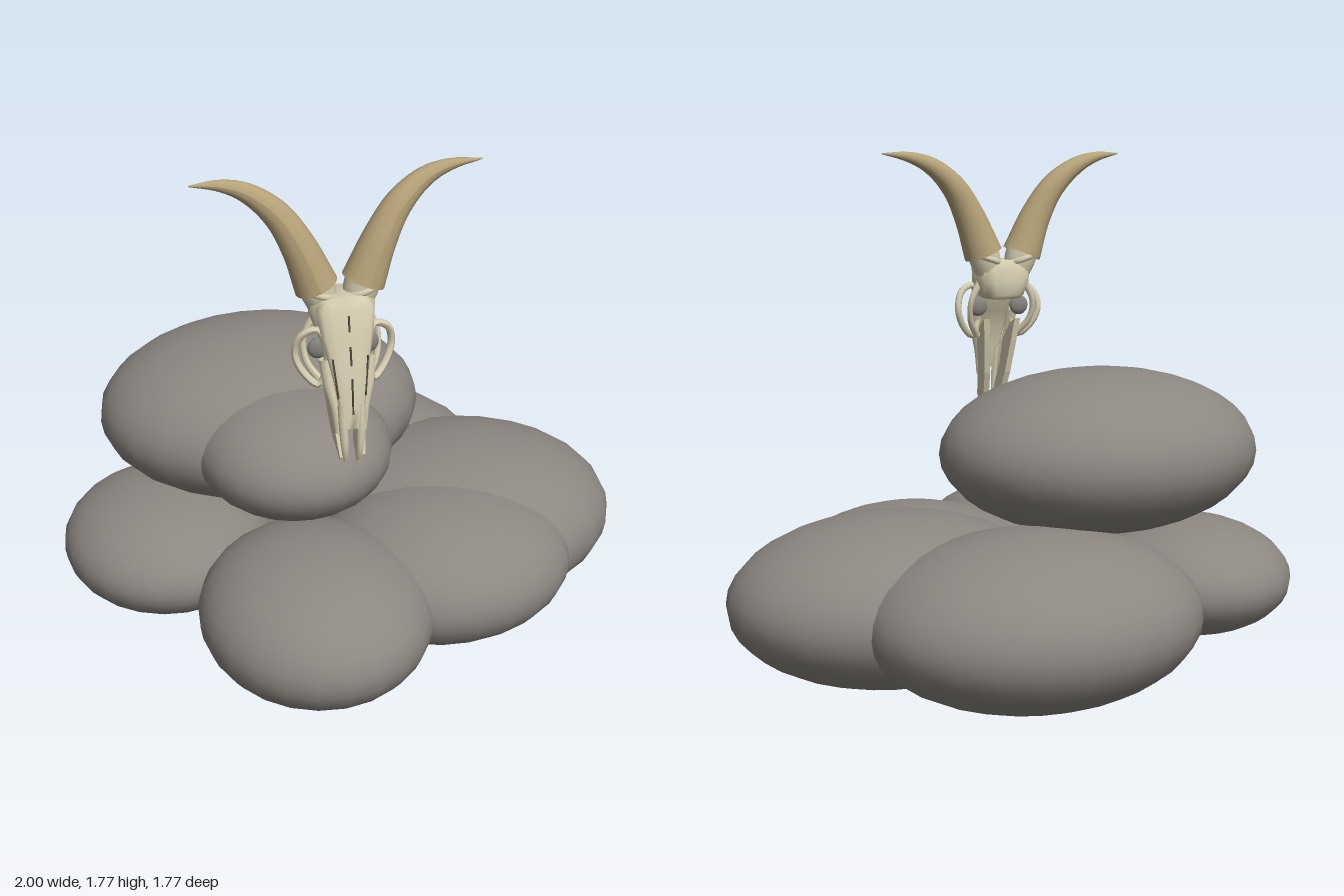
import * as THREE from 'three';

const material = (name, color, side = THREE.FrontSide) => {
  const m = new THREE.MeshStandardMaterial({ color, side });
  m.name = name;
  return m;
};

// Tube whose radius follows a list of values along its length
function taperedTube(points, radii, segments = 20, sides = 10, closed = false) {
  const curve = new THREE.CatmullRomCurve3(points.map(p => new THREE.Vector3(...p)), closed);
  const geo = new THREE.TubeGeometry(curve, segments, 1, sides, closed);
  const pos = geo.attributes.position, v = new THREE.Vector3();
  for (let i = 0; i <= segments; i++) {
    const c = curve.getPointAt(i / segments);
    const t = i / segments * (radii.length - 1), k = Math.min(Math.floor(t), radii.length - 2);
    const r = radii.length > 1 ? THREE.MathUtils.lerp(radii[k], radii[k + 1], t - k) : radii[0];
    for (let j = 0; j <= sides; j++) {
      const n = i * (sides + 1) + j;
      v.fromBufferAttribute(pos, n).sub(c).multiplyScalar(r).add(c);
      pos.setXYZ(n, v.x, v.y, v.z);
    }
  }
  geo.computeVertexNormals();
  return geo;
}

// Loft through rounded sections [y, halfWidth, zFront, zBack], listed upward
function loft(sections, sides = 14) {
  const pts = [], idx = [];
  const soft = c => Math.sign(c) * Math.pow(Math.abs(c), 0.75);
  for (const [y, w, zf, zb] of sections)
    for (let j = 0; j < sides; j++) {
      const a = j / sides * Math.PI * 2;
      pts.push(w * soft(Math.sin(a)), y, (zf + zb) / 2 + (zf - zb) / 2 * soft(Math.cos(a)));
    }
  const last = sections.length - 1;
  for (let i = 0; i < last; i++)
    for (let j = 0; j < sides; j++) {
      const a = i * sides + j, b = i * sides + (j + 1) % sides;
      idx.push(a, b, b + sides, a, b + sides, a + sides);
    }
  for (let j = 1; j < sides - 1; j++) {
    idx.push(0, j + 1, j);
    idx.push(last * sides, last * sides + j, last * sides + j + 1);
  }
  const geo = new THREE.BufferGeometry();
  geo.setAttribute('position', new THREE.Float32BufferAttribute(pts, 3));
  geo.setIndex(idx);
  geo.computeVertexNormals();
  return geo;
}

export function createModel() {
  const root = new THREE.Group();
  const stone = material('grey stone', 0x8c8781);
  const bone = material('pale bone', 0xd6cdb0, THREE.DoubleSide);
  const horn = material('tan horn', 0xb5a278, THREE.DoubleSide);
  const socket = material('socket grey', 0x85827c, THREE.DoubleSide);
  const crack = material('dark suture', 0x4a4436);

  const add = (parent, name, geo, mat) => {
    const mesh = new THREE.Mesh(geo, mat);
    mesh.name = name;
    parent.add(mesh);
    return mesh;
  };

  // Pile of flattened boulders: centre, radii
  const stones = new THREE.Group();
  stones.name = 'stonePile';
  root.add(stones);
  for (const [name, c, r] of [
    ['leftSmallStone', [-0.63, 0.29, -0.13], [0.37, 0.205, 0.4]],
    ['frontStone', [-0.235, 0.287, 0.45], [0.39, 0.245, 0.435]],
    ['frontSideStone', [0.27, 0.29, 0.26], [0.46, 0.245, 0.405]],
    ['sideStone', [0.425, 0.288, -0.02], [0.57, 0.285, 0.48]],
    ['backStone', [0.08, 0.288, -0.42], [0.57, 0.285, 0.47]],
    ['topStone', [-0.275, 0.77, -0.155], [0.56, 0.28, 0.465]],
    ['topFrontStone', [-0.24, 0.77, 0.18], [0.33, 0.2, 0.355]],
  ]) {
    const m = add(stones, name, new THREE.SphereGeometry(1, 24, 18), stone);
    m.position.set(...c);
    m.scale.set(...r);
  }

  // Skull, modelled around its own midline
  const skull = new THREE.Group();
  skull.name = 'skull';
  skull.position.x = -0.118;
  root.add(skull);

  add(skull, 'cranium', loft([
    [1.25, 0.065, 0.43, 0.29], [1.265, 0.08, 0.44, 0.272], [1.31, 0.1, 0.435, 0.27],
    [1.36, 0.105, 0.425, 0.275], [1.39, 0.075, 0.41, 0.29],
  ]), bone);
  add(skull, 'faceBone', loft([
    [0.98, 0.03, 0.492, 0.472], [1.05, 0.042, 0.488, 0.462], [1.14, 0.055, 0.478, 0.44],
    [1.2, 0.068, 0.465, 0.41], [1.27, 0.085, 0.45, 0.37], [1.36, 0.095, 0.432, 0.35], [1.385, 0.07, 0.41, 0.34],
  ]), bone);

  // Midline suture
  for (const [y, z, len, tilt] of [[1.32, 0.442, 0.05, -0.2], [1.22, 0.464, 0.06, -0.2], [1.09, 0.485, 0.12, -0.09]]) {
    const m = add(skull, 'midlineSuture', new THREE.BoxGeometry(0.005, len, 0.006), crack);
    m.position.set(0, y, z);
    m.rotation.x = tilt;
  }

  // Side profile of the upper jaw, drawn as (z, y)
  const jaw = new THREE.Shape([
    [0.47, 0.845], [0.43, 0.86], [0.385, 0.97], [0.355, 1.09], [0.338, 1.175],
    [0.385, 1.15], [0.435, 1.09], [0.445, 1.0], [0.485, 0.88],
  ].map(p => new THREE.Vector2(...p)));

  for (const s of [1, -1]) {
    const side = s > 0 ? 'left' : 'right';
    const path = pts => pts.map(([x, y, z]) => [x * s, y, z]);

    // Jaw plate, spreading outward with height
    const plate = new THREE.ExtrudeGeometry(jaw, { depth: 0.022, bevelEnabled: false });
    plate.translate(0, 0, -0.011).rotateY(-Math.PI / 2);
    const p = plate.attributes.position;
    for (let i = 0; i < p.count; i++) p.setX(i, p.getX(i) + s * (0.028 + (p.getY(i) - 0.85) * 0.1));
    plate.computeVertexNormals();
    add(skull, side + 'JawPlate', plate, bone);

    // Nasal prong at the muzzle
    add(skull, side + 'MuzzleProng', taperedTube(path([
      [0.03, 1.06, 0.472], [0.028, 0.96, 0.482], [0.024, 0.89, 0.483], [0.022, 0.858, 0.472],
    ]), [0.016, 0.015, 0.013, 0.007], 12, 8), bone);
    add(skull, side + 'CheekBridge', taperedTube(path([
      [0.07, 1.2, 0.42], [0.064, 1.12, 0.44], [0.048, 1.04, 0.455], [0.04, 0.96, 0.465],
    ]), [0.022, 0.016, 0.012], 12, 8), bone);

    // Orbit ring, rear strut and socket disc
    add(skull, side + 'OrbitRing', taperedTube(path([
      [0.09, 1.295, 0.405], [0.138, 1.275, 0.39], [0.157, 1.215, 0.375],
      [0.138, 1.155, 0.385], [0.09, 1.11, 0.41], [0.065, 1.17, 0.42], [0.068, 1.24, 0.42],
    ]), [0.012], 32, 8, true), bone);
    add(skull, side + 'CheekStrut', taperedTube(path([
      [0.085, 1.315, 0.34], [0.12, 1.24, 0.34], [0.115, 1.17, 0.36], [0.075, 1.11, 0.4],
    ]), [0.014, 0.01, 0.013], 14, 8), bone);
    const disc = add(skull, side + 'SocketDisc', new THREE.SphereGeometry(0.036, 16, 10), socket);
    disc.position.set(s * 0.08, 1.22, 0.375);
    disc.scale.z = 0.5;

    // Side suture
    const seam = add(skull, side + 'Suture', new THREE.BoxGeometry(0.005, 0.13, 0.006), crack);
    seam.position.set(s * 0.05, 1.15, 0.467);
    seam.rotation.set(-0.17, 0, s * -0.1);

    // Pedicle and the burr at the horn base
    add(skull, side + 'Pedicle', taperedTube(path([
      [0.055, 1.34, 0.335], [0.066, 1.385, 0.335], [0.077, 1.42, 0.335],
    ]), [0.045, 0.055, 0.058], 6, 16), bone);
    const burr = add(skull, side + 'HornBurr', new THREE.TorusGeometry(0.055, 0.011, 8, 20), bone);
    burr.position.set(s * 0.07, 1.397, 0.335);
    burr.rotation.set(Math.PI / 2, s * 0.33, 0);

    // Sweeping horn
    add(skull, side + 'Horn', taperedTube(path([
      [0.075, 1.412, 0.335], [0.128, 1.545, 0.332], [0.192, 1.652, 0.322],
      [0.278, 1.725, 0.312], [0.36, 1.757, 0.315], [0.455, 1.769, 0.327],
    ]), [0.07, 0.06, 0.051, 0.043, 0.032, 0.018, 0.002], 28, 16), horn);
  }
  return root;
}
